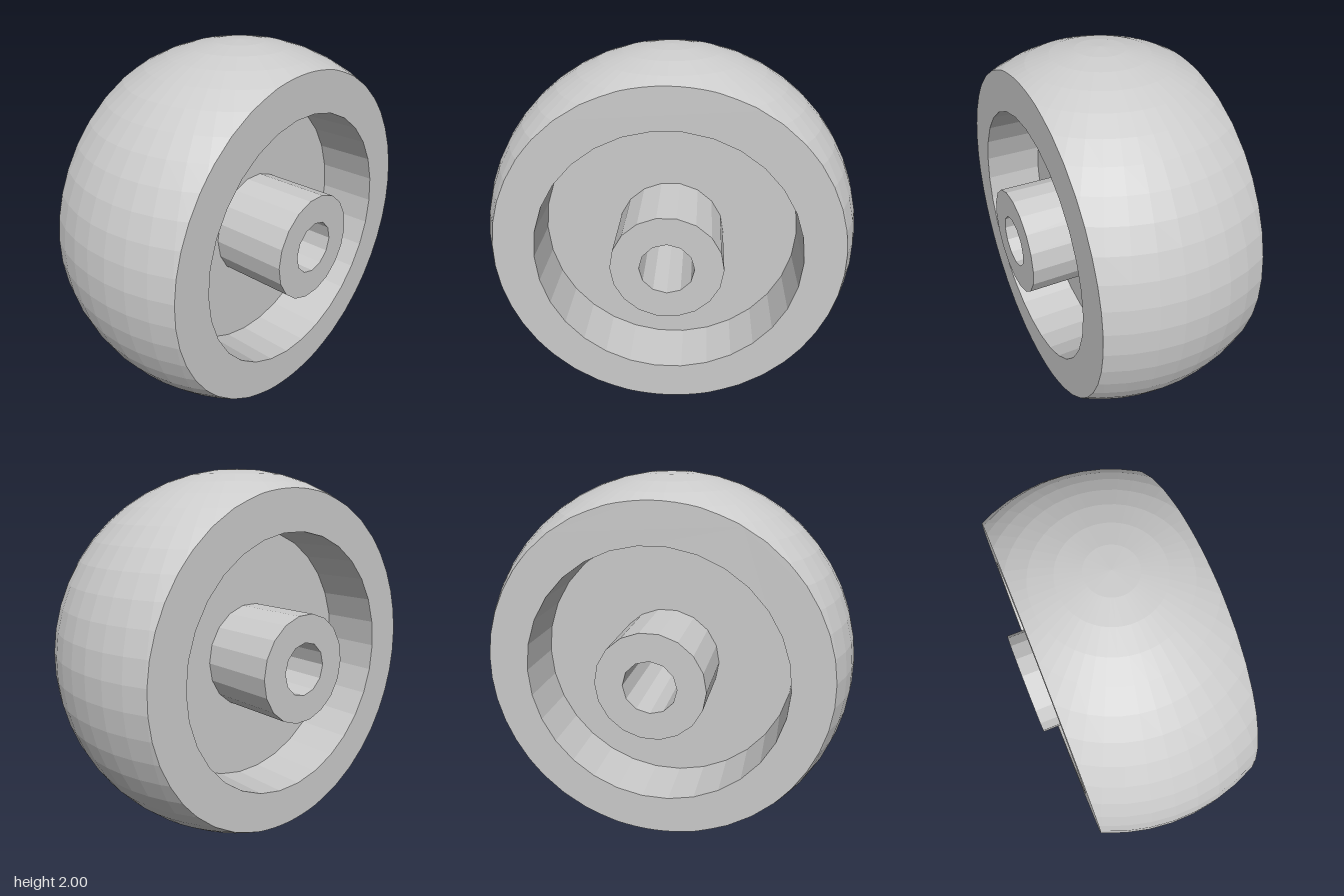
import * as THREE from 'three';

const HALF = 0.43;          // half width of the rim
const RECESS_R = 0.69;
const HUB_R = 0.287, HUB_HALF = 0.52;
const BORE_R = 0.14;
const WEB_HALF = 0.105;

const mat = new THREE.MeshStandardMaterial({ color: 0xcccccc, flatShading: true });
const inner = mat.clone();
inner.side = THREE.BackSide;

// Regular polygon points, drawn in the plane across the axle
function polygon(radius, sides) {
  return Array.from({ length: sides }, (_, i) => {
    const a = (i / sides) * Math.PI * 2;
    return new THREE.Vector2(radius * Math.cos(a), radius * Math.sin(a));
  });
}

function ringShape(outer, hole) {
  const shape = new THREE.Shape(outer);
  shape.holes.push(new THREE.Path(hole));
  return shape;
}

// Extruded ring centred on the axle (x axis)
function axleRing(outer, hole, half) {
  const geo = new THREE.ExtrudeGeometry(ringShape(outer, hole), { depth: half * 2, bevelEnabled: false });
  return geo.translate(0, 0, -half).rotateY(Math.PI / 2);
}

// Keep the part of a convex polygon where sign * x <= HALF
function clip(points, sign) {
  const out = [];
  points.forEach((p, i) => {
    const q = points[(i + 1) % points.length];
    const dp = HALF - sign * p.x, dq = HALF - sign * q.x;
    if (dp >= 0) out.push(p);
    if (dp * dq < 0) out.push(p.clone().lerp(q, dp / (dp - dq)));
  });
  return out;
}

// Ball tread cut flat on both sides, plus the outline of the cut
function treadParts() {
  const ball = new THREE.SphereGeometry(1, 50, 25).toNonIndexed();
  const pos = ball.attributes.position;
  const verts = [], cut = new Map();
  for (let i = 0; i < pos.count; i += 3) {
    const tri = [0, 1, 2].map(k => new THREE.Vector3().fromBufferAttribute(pos, i + k));
    const poly = clip(clip(tri, 1), -1);
    for (let k = 1; k + 1 < poly.length; k++) {
      for (const p of [poly[0], poly[k], poly[k + 1]]) verts.push(p.x, p.y, p.z);
    }
    for (const p of poly) {
      if (Math.abs(p.x - HALF) < 1e-6) {
        cut.set(`${p.y.toFixed(4)},${p.z.toFixed(4)}`, new THREE.Vector2(-p.z, p.y));
      }
    }
  }
  const geo = new THREE.BufferGeometry();
  geo.setAttribute('position', new THREE.Float32BufferAttribute(verts, 3));
  geo.computeVertexNormals();
  const outline = [...cut.values()].sort((a, b) => a.angle() - b.angle());
  return { geo, outline };
}

export function createModel() {
  const wheel = new THREE.Group();
  wheel.name = 'wheel';
  const add = (name, geo, material = mat) => {
    const mesh = new THREE.Mesh(geo, material);
    mesh.name = name;
    wheel.add(mesh);
  };

  const { geo, outline } = treadParts();
  add('tread', geo);

  // Flat rim faces and recess walls, one pair per side
  const recess = polygon(RECESS_R, 30);
  const depth = HALF - WEB_HALF;
  for (const side of [1, -1]) {
    const label = side > 0 ? 'left' : 'right';
    const face = new THREE.ShapeGeometry(ringShape(outline, recess));
    add(`${label}RimFace`, face.rotateY(side * Math.PI / 2).translate(side * HALF, 0, 0));
    const wall = new THREE.CylinderGeometry(RECESS_R, RECESS_R, depth, 30, 1, true);
    add(`${label}RecessWall`, wall.rotateZ(Math.PI / 2).translate(side * (HALF - depth / 2), 0, 0), inner);
  }

  // Central web and the bored hub running through it
  add('web', axleRing(recess, polygon(0.2, 12), WEB_HALF));
  add('hub', axleRing(polygon(HUB_R, 18), polygon(BORE_R, 12), HUB_HALF));

  wheel.position.y = 1;
  const model = new THREE.Group();
  model.name = 'wheelModel';
  model.add(wheel);
  return model;
}
